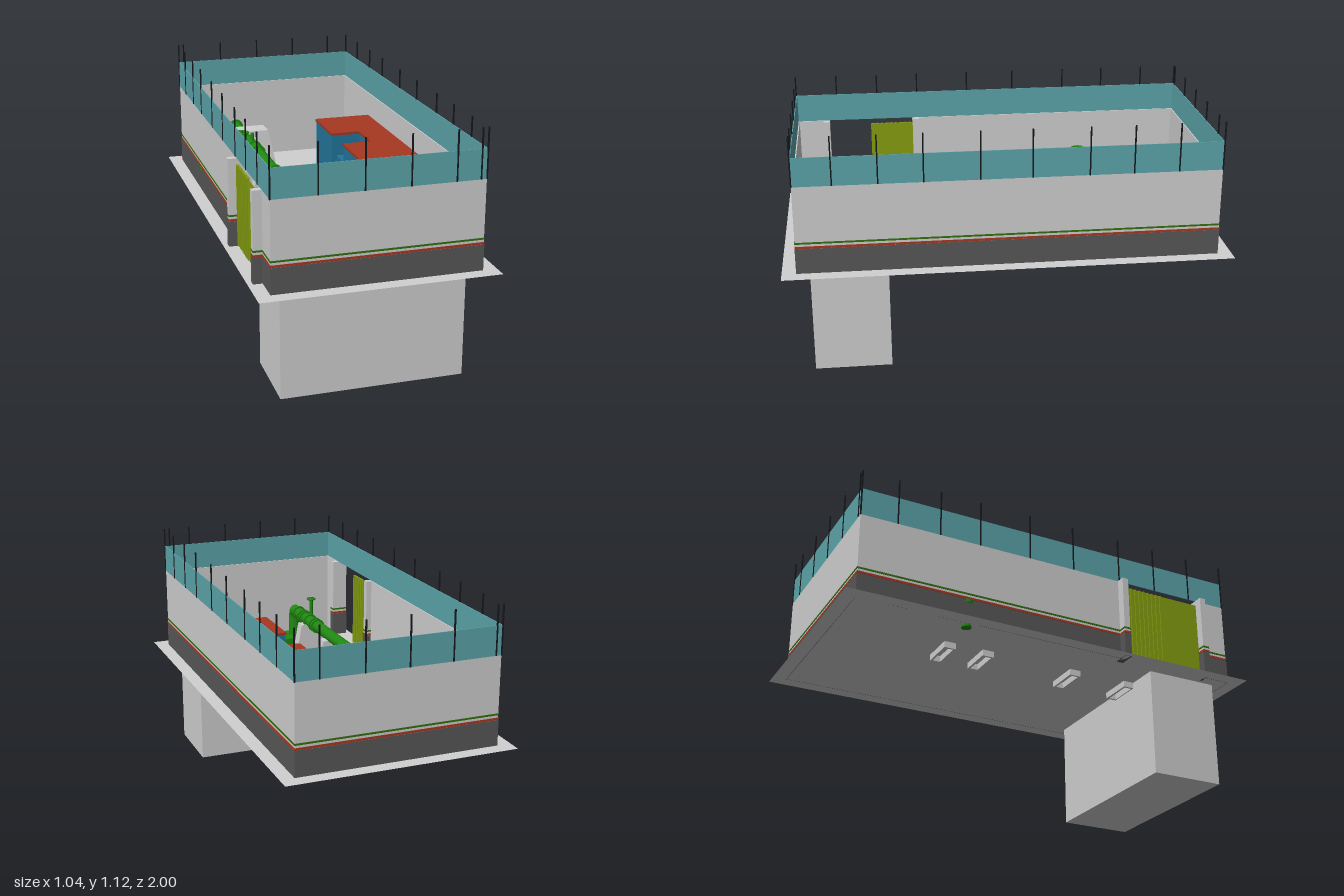
import * as THREE from 'three';

const mat = (name, color, side = THREE.FrontSide) => {
  const m = new THREE.MeshStandardMaterial({ color, side });
  m.name = name;
  return m;
};

export function createModel() {
  const root = new THREE.Group();
  root.name = 'valveStation';
  const concrete = mat('light concrete', 0xd0d0d0, THREE.DoubleSide);
  const plinth = mat('dark plinth', 0x585858);
  const red = mat('red', 0xa83822);
  const stripeGreen = mat('stripe green', 0x33700f);
  const glass = mat('teal glass', 0x5ca6ab);
  const black = mat('black steel', 0x15181c);
  const pipeGreen = mat('pipe green', 0x208a12);
  const blue = mat('blue', 0x22769c);
  const olive = mat('olive gate', 0x87a010);

  const add = (name, geo, material, parent = root) => {
    const m = new THREE.Mesh(geo, material);
    m.name = name;
    parent.add(m);
    return m;
  };
  // box given by its limits
  const box = (name, material, x0, x1, y0, y1, z0, z1, parent) => {
    const m = add(name, new THREE.BoxGeometry(x1 - x0, y1 - y0, z1 - z0), material, parent);
    m.position.set((x0 + x1) / 2, (y0 + y1) / 2, (z0 + z1) / 2);
    return m;
  };
  // cylinder between two points
  const rod = (name, material, a, b, r, parent, sides = 20) => {
    const p = new THREE.Vector3(...a), q = new THREE.Vector3(...b), d = q.clone().sub(p);
    const m = add(name, new THREE.CylinderGeometry(r, r, d.length(), sides), material, parent);
    m.position.copy(p).add(q).multiplyScalar(0.5);
    m.quaternion.setFromUnitVectors(new THREE.Vector3(0, 1, 0), d.normalize());
    return m;
  };
  // block whose top face has its own limits
  const taper = (name, material, b, t, y0, y1, parent) => {
    const g = new THREE.BoxGeometry(1, 1, 1).toNonIndexed(), p = g.attributes.position;
    for (let i = 0; i < p.count; i++) {
      const up = p.getY(i) > 0, l = up ? t : b;
      p.setXYZ(i, p.getX(i) > 0 ? l[1] : l[0], up ? y1 : y0, p.getZ(i) > 0 ? l[3] : l[2]);
    }
    g.computeVertexNormals();
    return add(name, g, material, parent);
  };

  // ground slab and the chamber under it
  const slab = add('groundSlab', new THREE.PlaneGeometry(1.04, 2).rotateX(-Math.PI / 2), concrete);
  slab.position.y = 0.5;
  box('undergroundChamber', concrete, -0.405, 0.405, 0, 0.498, 0.535, 0.88);

  // perimeter walls, with an opening for the gate in the right wall
  const X = 0.455, Z = 0.935, T = 0.009, G0 = 0.36, G1 = 0.795;
  const walls = [
    [-X, X, Z - T, Z], [-X, X, -Z, -Z + T], [X - T, X, -Z + T, Z - T],
    [-X, -X + T, -Z + T, G0], [-X, -X + T, G1, Z - T],
  ];
  const bands = [['plinthBand', plinth, 0.5, 0.615], ['redStripe', red, 0.616, 0.626], ['greenStripe', stripeGreen, 0.637, 0.645]];
  const e = 0.002;
  walls.forEach(([x0, x1, z0, z1]) => box('wall', concrete, x0, x1, 0.5, 0.9, z0, z1));
  bands.forEach(([n, m, y0, y1]) => {
    box(n, m, -X - e, X + e, y0, y1, Z, Z + e);
    box(n, m, -X - e, X + e, y0, y1, -Z - e, -Z);
    box(n, m, X, X + e, y0, y1, -Z, Z);
    box(n, m, -X - e, -X, y0, y1, -Z, G0);
    box(n, m, -X - e, -X, y0, y1, G1, Z);
  });

  // gate pillars with the same bands
  [G0, G1].forEach((z) => {
    box('gatePillar', concrete, -0.495, -0.42, 0.5, 0.9, z - 0.015, z + 0.015);
    bands.forEach(([n, m, y0, y1]) => box(n, m, -0.495 - e, -0.42 + e, y0, y1, z - 0.015 - e, z + 0.015 + e));
  });

  // gate: one ribbed leaf and one plain outward-facing leaf
  box('ribbedGateLeaf', olive, -0.457, -0.453, 0.51, 0.875, 0.375, 0.58);
  for (let i = 0; i < 9; i++) {
    const z = 0.385 + i * 0.023;
    box('gateRib', olive, -0.462, -0.448, 0.51, 0.875, z, z + 0.009);
  }
  const leaf = add('plainGateLeaf', new THREE.PlaneGeometry(0.2, 0.365).rotateY(-Math.PI / 2), olive);
  leaf.position.set(-0.457, 0.6925, 0.68);

  // glass screen above the walls
  [1, -1].forEach((s) => {
    box('glassScreen', glass, -X, X, 0.9, 1.03, s * (Z - 0.002) - 0.002, s * (Z - 0.002) + 0.002);
    box('glassScreen', glass, s * (X - 0.002) - 0.002, s * (X - 0.002) + 0.002, 0.9, 1.03, -Z + 0.004, Z - 0.004);
  });

  // screen posts
  const post = (x, z) => box('screenPost', black, x - 0.003, x + 0.003, 0.9, 1.12, z - 0.003, z + 0.003);
  [0.765, 0.57, 0.375, 0.13, -0.095, -0.345, -0.54, -0.74].forEach((z) => {
    post(X, z);
    post(-X, z - 0.024);
  });
  [-0.26, -0.065, 0.13, 0.325, 0.43].forEach((x) => post(x, Z));
  [-0.43, -0.235, -0.04, 0.155, 0.35].forEach((x) => post(x, -Z));
  [X, -X].forEach((x) => [Z, -Z].forEach((z) => post(x, z)));

  // control house with a recess, and its flat roof
  const plan = (i) => {
    const pts = [[0.145 + i, -0.465 + i], [0.425 - i, -0.465 + i], [0.425 - i, 0.26 - i], [0.145 + i, 0.26 - i],
      [0.145 + i, -0.015 + i], [0.285 + i, -0.015 + i], [0.285 + i, -0.19 - i], [0.145 + i, -0.19 - i]];
    return new THREE.Shape(pts.map(([x, z]) => new THREE.Vector2(x, -z)));
  };
  const storey = (name, material, inset, y0, y1) => {
    const g = new THREE.ExtrudeGeometry(plan(inset), { depth: y1 - y0, bevelEnabled: false });
    add(name, g.rotateX(-Math.PI / 2), material).position.y = y0;
  };
  storey('houseWalls', blue, 0.004, 0.501, 0.79);
  storey('houseRoof', red, 0, 0.79, 0.802);
  box('cabinetBody', blue, 0.17, 0.255, 0.501, 0.69, -0.188, -0.018);
  box('cabinetBack', blue, 0.255, 0.285, 0.501, 0.67, -0.17, -0.04);
  box('cabinetStep', blue, 0.145, 0.17, 0.501, 0.6, -0.145, -0.065);

  // main pipe with flanges
  const PX = -0.175, PY = 0.68, R = 0.028;
  const pipe = new THREE.Group();
  pipe.name = 'pipework';
  root.add(pipe);
  rod('mainPipe', pipeGreen, [PX, PY, -0.87], [PX, PY, 0.72], R, pipe);
  [-0.865, -0.46, -0.38, -0.05, 0.4, 0.43, 0.5, 0.56, 0.59, 0.655].forEach((z) =>
    rod('pipeFlange', pipeGreen, [PX, PY, z - 0.006], [PX, PY, z + 0.006], R + 0.008, pipe));
  const bend = (name, pts, r) => add(name, new THREE.TubeGeometry(
    new THREE.QuadraticBezierCurve3(...pts.map((p) => new THREE.Vector3(...p))), 14, r, 18), pipeGreen, pipe);
  bend('endElbow', [[PX, PY, 0.69], [PX, PY, 0.725], [PX, PY - 0.045, 0.725]], R);
  rod('downPipe', pipeGreen, [PX, PY - 0.04, 0.725], [PX, 0.5, 0.725], R, pipe);

  // branch with valve and outlet elbow
  const BZ = -0.42;
  rod('branchPipe', pipeGreen, [PX, PY, BZ], [-0.4, PY, BZ], 0.022, pipe);
  [-0.215, -0.225, -0.28, -0.292, -0.365, -0.385].forEach((x) =>
    rod('branchFlange', pipeGreen, [x - 0.004, PY, BZ], [x + 0.004, PY, BZ], 0.037, pipe));
  const body = add('valveBody', new THREE.SphereGeometry(0.04, 20, 14), pipeGreen, pipe);
  body.position.set(-0.327, PY, BZ);
  add('gateValveBody', new THREE.SphereGeometry(0.032, 20, 14), pipeGreen, pipe).position.set(-0.25, PY, BZ);
  bend('outletElbow', [[-0.39, PY, BZ], [-0.428, PY, BZ], [-0.428, PY - 0.04, BZ]], 0.022);
  rod('outletPipe', pipeGreen, [-0.428, PY - 0.035, BZ], [-0.428, 0.49, BZ], 0.022, pipe);
  rod('outletFlange', pipeGreen, [-0.428, 0.6, BZ], [-0.428, 0.615, BZ], 0.034, pipe);

  // handwheels on stems
  const handwheel = (x, y0, y1, z, r) => {
    rod('valveStem', pipeGreen, [x, y0, z], [x, y1 + 0.008, z], 0.008, pipe, 10);
    add('handwheel', new THREE.TorusGeometry(r, 0.005, 8, 24).rotateX(Math.PI / 2), pipeGreen, pipe).position.set(x, y1, z);
    rod('wheelSpoke', pipeGreen, [x - r, y1, z], [x + r, y1, z], 0.004, pipe, 8);
    rod('wheelSpoke', pipeGreen, [x, y1, z - r], [x, y1, z + r], 0.004, pipe, 8);
  };
  handwheel(-0.25, PY, 0.775, BZ, 0.033);
  rod('valveBonnet', pipeGreen, [-0.25, PY, BZ], [-0.25, 0.735, BZ], 0.02, pipe);
  handwheel(-0.19, PY, 0.79, 0.52, 0.018);
  rod('airValve', pipeGreen, [PX, PY, -0.5], [PX, 0.745, -0.5], 0.009, pipe, 12);

  // pipe supports with open footings below the slab
  [-0.415, -0.228, 0.22, 0.512].forEach((z) => {
    taper('pipeSupport', concrete, [-0.255, -0.095, z - 0.026, z + 0.026], [-0.215, -0.125, z - 0.026, z + 0.026], 0.501, 0.665);
    const ring = new THREE.Shape([[-0.255, -0.028], [-0.095, -0.028], [-0.095, 0.028], [-0.255, 0.028]].map((p) => new THREE.Vector2(...p)));
    ring.holes.push(new THREE.Path([[-0.245, -0.018], [-0.245, 0.018], [-0.105, 0.018], [-0.105, -0.018]].map((p) => new THREE.Vector2(...p))));
    const g = new THREE.ExtrudeGeometry(ring, { depth: 0.029, bevelEnabled: false }).rotateX(-Math.PI / 2);
    add('footing', g, concrete).position.set(0, 0.47, z);
  });

  // anchor block around the far end of the pipe
  taper('anchorBlock', concrete, [-0.25, -0.02, -0.8, -0.59], [-0.21, -0.065, -0.715, -0.612], 0.501, 0.72);

  // pit cover and its two side kerbs at the near end
  box('pitCover', pipeGreen, -0.25, -0.105, 0.501, 0.545, 0.655, 0.795);
  [0.66, 0.79].forEach((z) => box('pitRail', pipeGreen, -0.28, -0.06, 0.53, 0.54, z - 0.005, z + 0.005));
  taper('pitKerb', concrete, [-0.325, -0.27, 0.625, 0.82], [-0.305, -0.27, 0.625, 0.82], 0.501, 0.56);
  taper('pitKerb', concrete, [-0.075, -0.018, 0.625, 0.82], [-0.075, -0.038, 0.625, 0.82], 0.501, 0.56);

  return root;
}
